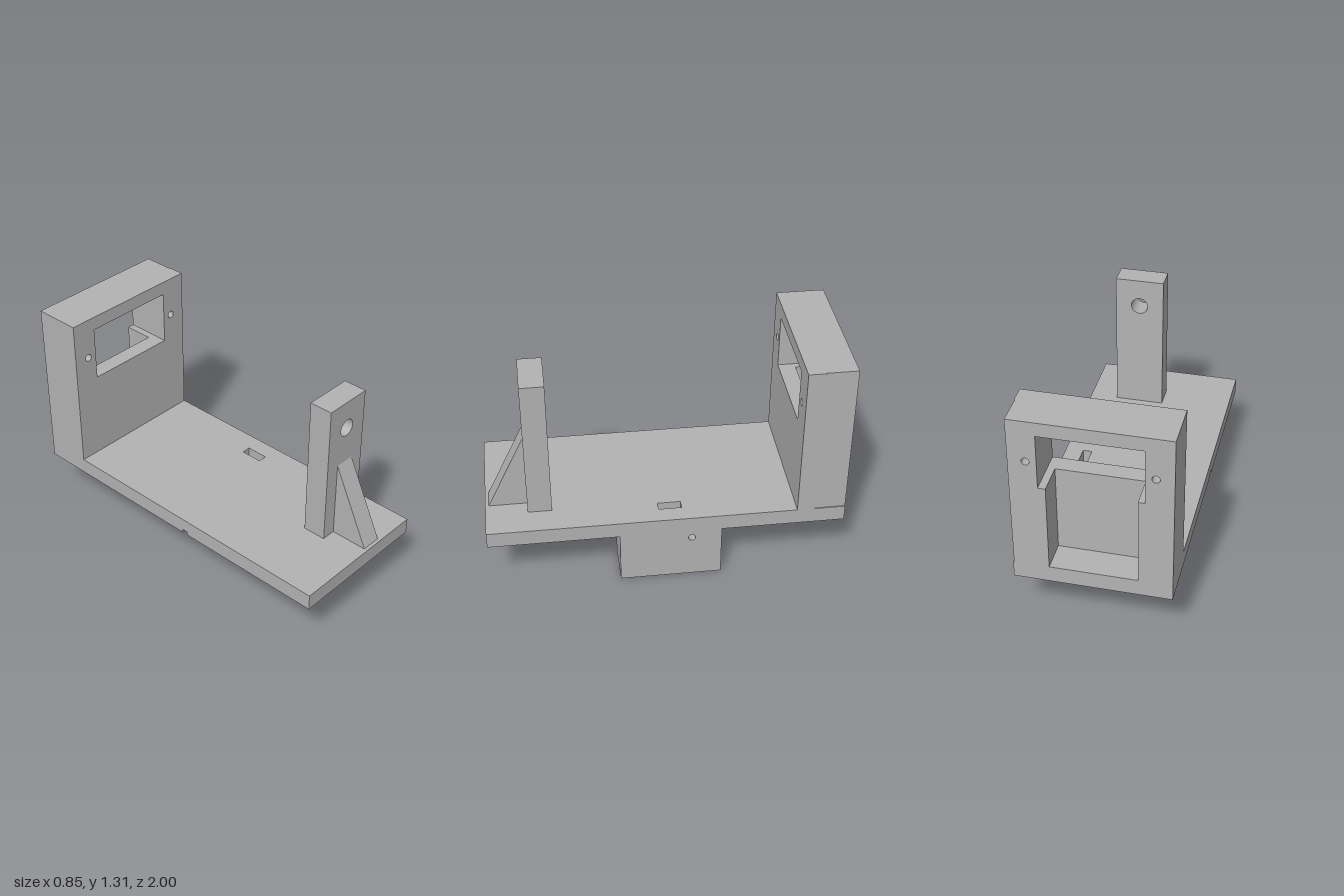
import * as THREE from 'three';

const rect = (a, b, c, d) => [[a, b], [c, b], [c, d], [a, d]];
const circle = (x, y, r) => new THREE.Path().absarc(x, y, r, 0, Math.PI * 2, true);
const poly = (pts) => new THREE.Path(pts.map(([x, y]) => new THREE.Vector2(x, y)));

export function createModel() {
  const group = new THREE.Group();
  const grey = new THREE.MeshStandardMaterial({ color: 0xb3b3b3 });
  grey.name = 'grey plastic';

  function add(name, geometry) {
    const mesh = new THREE.Mesh(geometry, grey);
    mesh.name = name;
    group.add(mesh);
  }
  // Extrudes an outline with holes between two positions along an axis.
  // Outline coordinates: z -> (x, y), x -> (z, y), y -> (x, -z).
  function slab(name, axis, from, to, outline, holes = []) {
    const shape = new THREE.Shape(outline.map(([x, y]) => new THREE.Vector2(x, y)));
    shape.holes.push(...holes);
    const geo = new THREE.ExtrudeGeometry(shape, { depth: to - from, bevelEnabled: false, curveSegments: 32 });
    if (axis === 'x') geo.rotateY(-Math.PI / 2).translate(to, 0, 0);
    else if (axis === 'y') geo.rotateX(-Math.PI / 2).translate(0, from, 0);
    else geo.translate(0, 0, from);
    add(name, geo);
  }

  const L = -0.427, R = 0.423, top = 0.405, under = 0.312;

  // Base plate: slotted upper layer, lower layer with a cable groove
  const slot = () => poly(rect(0.27, -0.04, 0.322, 0.09));
  slab('basePlateTop', 'y', 0.332, top, rect(L, -1, R, 1), [slot()]);
  slab('basePlateBottom', 'y', under, 0.332, [
    [L, -1], [R, -1], [R, 1], [L, 1], [L, -0.085], [0.2, -0.085], [0.2, -0.12], [L, -0.12],
  ], [slot()]);

  // Rear housing: thin front wall with a window, deeper rear frame with a pocket
  const screws = () => [circle(-0.333, 1.07, 0.021), circle(0.325, 1.07, 0.021)];
  slab('housingFrontWall', 'z', -0.825, -0.728, rect(L, top, R, 1.308),
    [poly(rect(-0.278, 0.915, 0.268, 1.229)), ...screws()]);
  slab('housingRearFrame', 'z', -1, -0.825, rect(L, top, 0.418, 1.308), [
    poly([[-0.243, 0.408], [0.228, 0.408], [0.228, 0.915], [0.268, 0.915],
      [0.268, 1.229], [-0.278, 1.229], [-0.278, 0.915], [-0.243, 0.915]]),
    ...screws(),
  ]);

  // Front post with a pivot hole and a sloped brace
  slab('post', 'z', 0.63, 0.765, rect(-0.023, top, 0.26, 1.237), [circle(0.119, 1.072, 0.049)]);
  slab('postBrace', 'x', 0.06, 0.178, [[0.765, top], [0.98, top], [0.765, 0.855]]);

  // Hollow box under the plate, open at the bottom
  const z0 = -0.305, z1 = 0.267, xi = 0.172, wall = 0.045, end = 0.06;
  slab('boxOuterWall', 'x', R - wall, R, rect(z0, 0, z1, under), [circle(-0.137, 0.264, 0.02)]);
  slab('boxInnerWall', 'x', xi, xi + wall, [
    [z0, 0], [z1, 0], [z1, under], [0.13, under], [0.13, 0.05], [0.08, 0.05], [0.08, under], [z0, under],
  ]);
  for (const [name, z] of [['boxRearWall', z0], ['boxFrontWall', z1 - end]]) {
    slab(name, 'z', z, z + end, rect(xi + wall, 0, R - wall, under));
  }
  return group;
}
